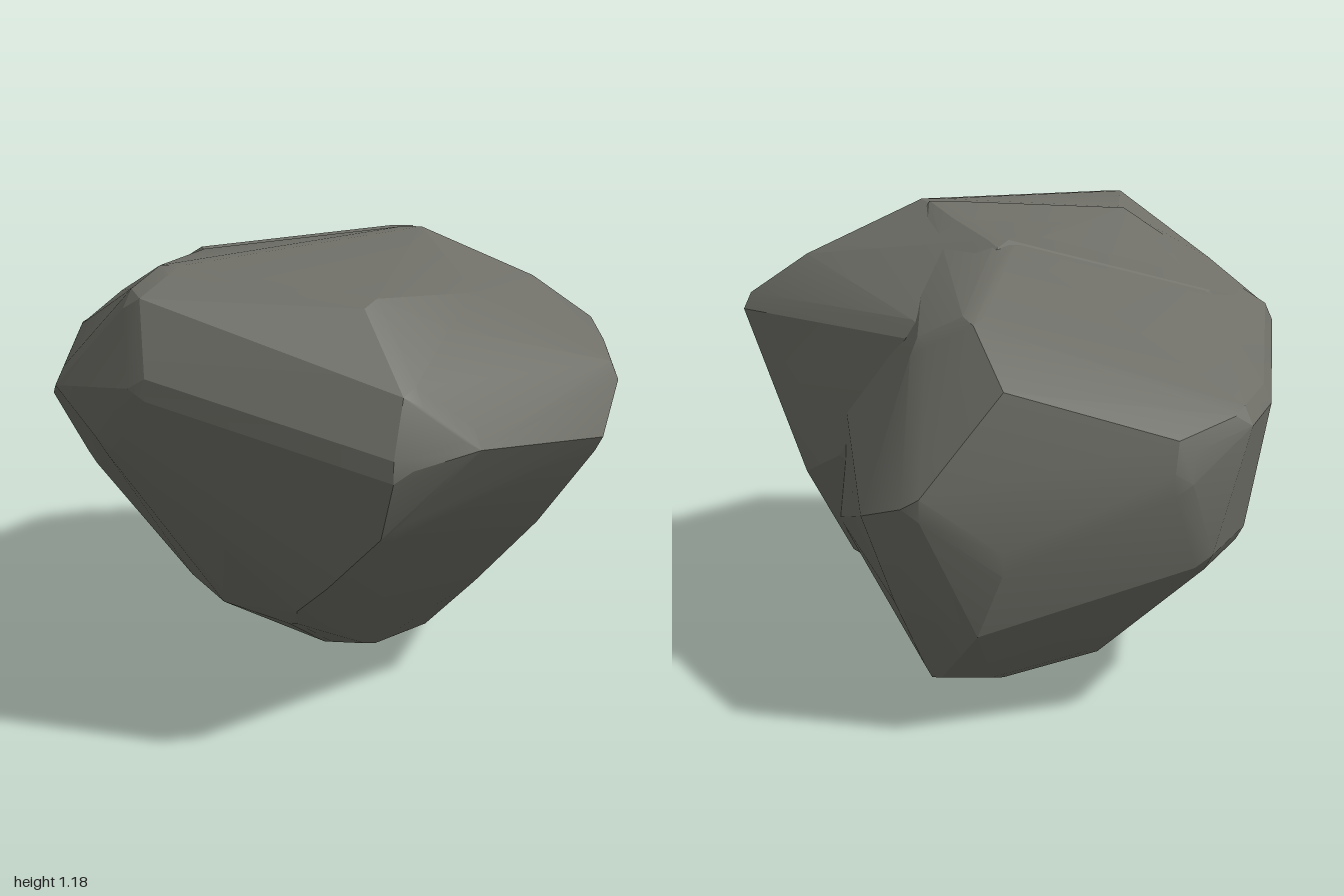
import * as THREE from 'three';
import { ConvexGeometry } from 'three/addons/geometries/ConvexGeometry.js';
import { toCreasedNormals } from 'three/addons/utils/BufferGeometryUtils.js';

// Corners of the broad front mass
const FRONT = [
  // crown
  [-0.36, 1.15, 0.74], [-0.42, 1.1, 0.8], [-0.33, 1.14, 0.26], [0.22, 1.18, 0.02],
  [0.12, 1.08, 0.77], [0.01, 1.09, -0.42], [0.2, 0.9, -0.62], [0.37, 1.06, 0.5],
  [0.3, 1.0, 0.72], [-0.55, 0.94, -0.3],
  // right shoulder
  [0.55, 1.02, -0.08], [0.72, 0.9, -0.05], [0.74, 0.87, 0.15], [0.74, 0.85, 0.36],
  [0.69, 0.73, 0.52], [0.55, 0.75, -0.27],
  // front lip
  [0.2, 0.76, 1.0], [0.22, 0.9, 0.95], [-0.4, 0.92, 0.88], [0.36, 0.79, 0.91],
  [-0.63, 0.88, 0.67], [-0.52, 0.76, 0.73],
  // front nose, tapering down to a small foot
  [0.17, 0.6, 0.93], [0.03, 0.42, 0.8], [-0.06, 0.31, 0.69], [-0.07, 0.22, 0.56],
  // left shoulder
  [-0.74, 0.87, 0.0], [-0.71, 0.8, 0.4], [-0.5, 1.05, 0.24], [-0.6, 0.99, 0.1],
  [-0.68, 0.78, -0.3], [-0.69, 0.56, 0.12], [-0.66, 0.42, -0.14],
  // underside
  [-0.45, 0.19, -0.34], [-0.4, 0.24, 0.22], [-0.28, 0.22, 0.4],
  [0.0, 0.02, 0.18], [0.12, 0.0, 0.1], [0.25, 0.04, 0.05], [0.1, 0.03, 0.21],
  [0.42, 0.22, -0.1], [0.61, 0.5, 0.1], [0.56, 0.5, 0.43], [0.4, 0.28, 0.33],
  // waist
  [0.4, 0.55, -0.45], [0.52, 0.46, -0.27], [0.42, 0.24, -0.2],
];

// Corners of the narrower rear mass
const REAR = [
  // sloping top
  [0.2, 1.17, 0.0], [-0.33, 1.13, 0.25], [0.01, 1.09, -0.42], [-0.55, 0.94, -0.3],
  [-0.43, 0.68, -0.91], [0.0, 0.8, -0.91], [0.08, 0.94, -0.74], [0.2, 0.88, -0.7],
  [-0.58, 0.72, -0.8],
  // left side
  [-0.74, 0.87, 0.0], [-0.68, 0.78, -0.3], [-0.66, 0.74, -0.6], [-0.66, 0.42, -0.15],
  [-0.45, 0.19, -0.36], [-0.6, 0.4, -0.6], [-0.48, 0.4, -0.86], [-0.22, 0.12, -0.71],
  // back end
  [-0.42, 0.6, -0.93], [0.0, 0.42, -1.0], [0.2, 0.55, -0.98], [0.06, 0.26, -0.97],
  // right side
  [0.31, 0.5, -0.86], [0.36, 0.5, -0.65], [0.4, 0.55, -0.45], [0.45, 0.8, -0.1],
  [0.23, 0.27, -0.84], [0.45, 0.3, -0.15],
  // underside
  [0.03, 0.08, -0.78], [0.16, 0.07, -0.75], [0.1, 0.08, -0.4], [0.1, 0.01, 0.1],
];

// Hull around a small ball at every corner, giving flat faces with worn edges
function wornHull(corners, radius) {
  const pts = corners.map((c) => new THREE.Vector3(...c));
  const centre = new THREE.Box3().setFromPoints(pts).getCenter(new THREE.Vector3());
  const ball = new THREE.IcosahedronGeometry(radius, 0).getAttribute('position');
  const cloud = [];
  for (const p of pts) {
    const inset = p.clone().sub(centre).setLength(radius * 0.95);
    const seen = new Set();
    for (let i = 0; i < ball.count; i++) {
      const b = new THREE.Vector3().fromBufferAttribute(ball, i);
      const key = b.toArray().map((v) => v.toFixed(3)).join();
      if (seen.has(key)) continue;
      seen.add(key);
      cloud.push(b.add(p).sub(inset));
    }
  }
  return toCreasedNormals(new ConvexGeometry(cloud), 0.3);
}

export function createModel() {
  const group = new THREE.Group();
  group.name = 'boulder';
  const stone = new THREE.MeshStandardMaterial({ color: 0x6e6e67 });
  stone.name = 'grey stone';

  for (const [name, corners] of [['frontMass', FRONT], ['rearMass', REAR]]) {
    const mesh = new THREE.Mesh(wornHull(corners, 0.05), stone);
    mesh.name = name;
    group.add(mesh);
  }
  return group;
}
